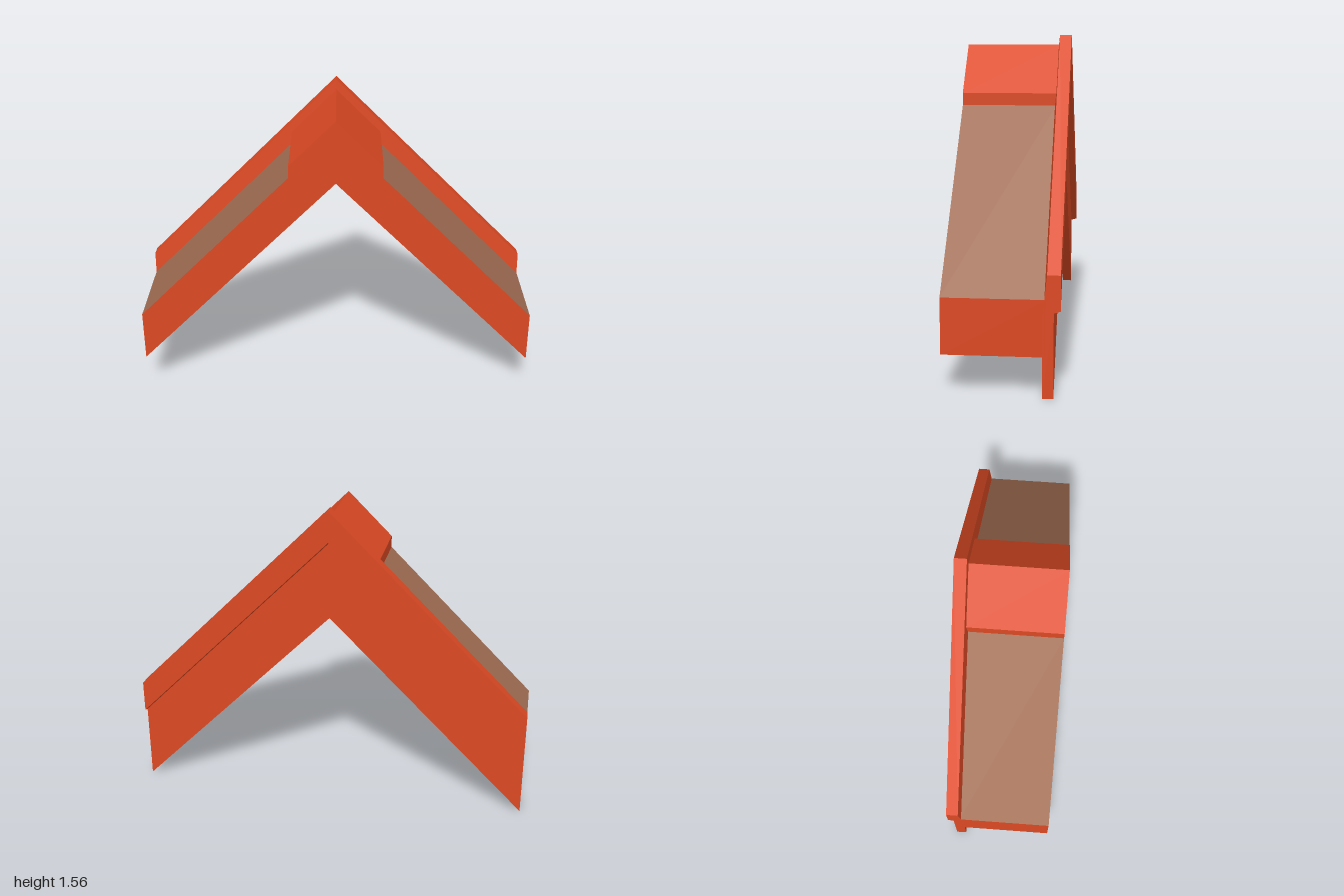
import * as THREE from 'three';

const toShape = (pts) => new THREE.Shape(pts.map(([x, y]) => new THREE.Vector2(x, y)));

export function createModel() {
  const model = new THREE.Group();
  model.name = 'gableRoof';

  const paint = new THREE.MeshStandardMaterial({ color: 0xdb4923 });
  paint.name = 'orangeRed';
  const slate = new THREE.MeshStandardMaterial({ color: 0xa06c52 });
  slate.name = 'brown';

  // Roof body: right half of the chevron, mirrored to the left
  const half = [[0, 1.19], [1, 0.19], [1, 0.45], [0.23, 1.22], [0.23, 1.28], [0, 1.51]];
  const mirrored = half.slice(1, -1).reverse().map(([x, y]) => [-x, y]);
  const roof = new THREE.ExtrudeGeometry(toShape([...half, ...mirrored]), { depth: 0.465, bevelEnabled: false });
  roof.translate(0, 0, -0.2);

  // Brown covering on the two long lower slopes only
  const pos = roof.attributes.position;
  const normal = roof.attributes.normal;
  roof.clearGroups();
  for (let i = 0; i < pos.count; i += 3) {
    const midX = (pos.getX(i) + pos.getX(i + 1) + pos.getX(i + 2)) / 3;
    const isSlope = normal.getY(i) > 0.5 && Math.abs(midX) > 0.24;
    roof.addGroup(i, 3, isSlope ? 1 : 0);
  }
  const roofMesh = new THREE.Mesh(roof, [paint, slate]);
  roofMesh.name = 'roofBody';
  model.add(roofMesh);

  // Barge board with its raised cap: section as [-z, y], run along each slope
  const section = toShape([
    [0.185, 0], [0.235, 0], [0.235, 0.39], [0.265, 0.4],
    [0.265, 0.56], [0.205, 0.56], [0.185, 0.37],
  ]);
  for (const [name, startX] of [['leftBargeBoard', 0], ['rightBargeBoard', -1]]) {
    const board = new THREE.ExtrudeGeometry(section, { depth: 1, bevelEnabled: false });
    board.rotateY(Math.PI / 2);
    board.translate(startX, 0, 0);
    // Shear upward to the ridge, keeping the ends vertical
    const p = board.attributes.position;
    for (let i = 0; i < p.count; i++) p.setY(i, p.getY(i) + 1 - Math.abs(p.getX(i)));
    board.computeVertexNormals();
    const mesh = new THREE.Mesh(board, paint);
    mesh.name = name;
    model.add(mesh);
  }

  return model;
}
